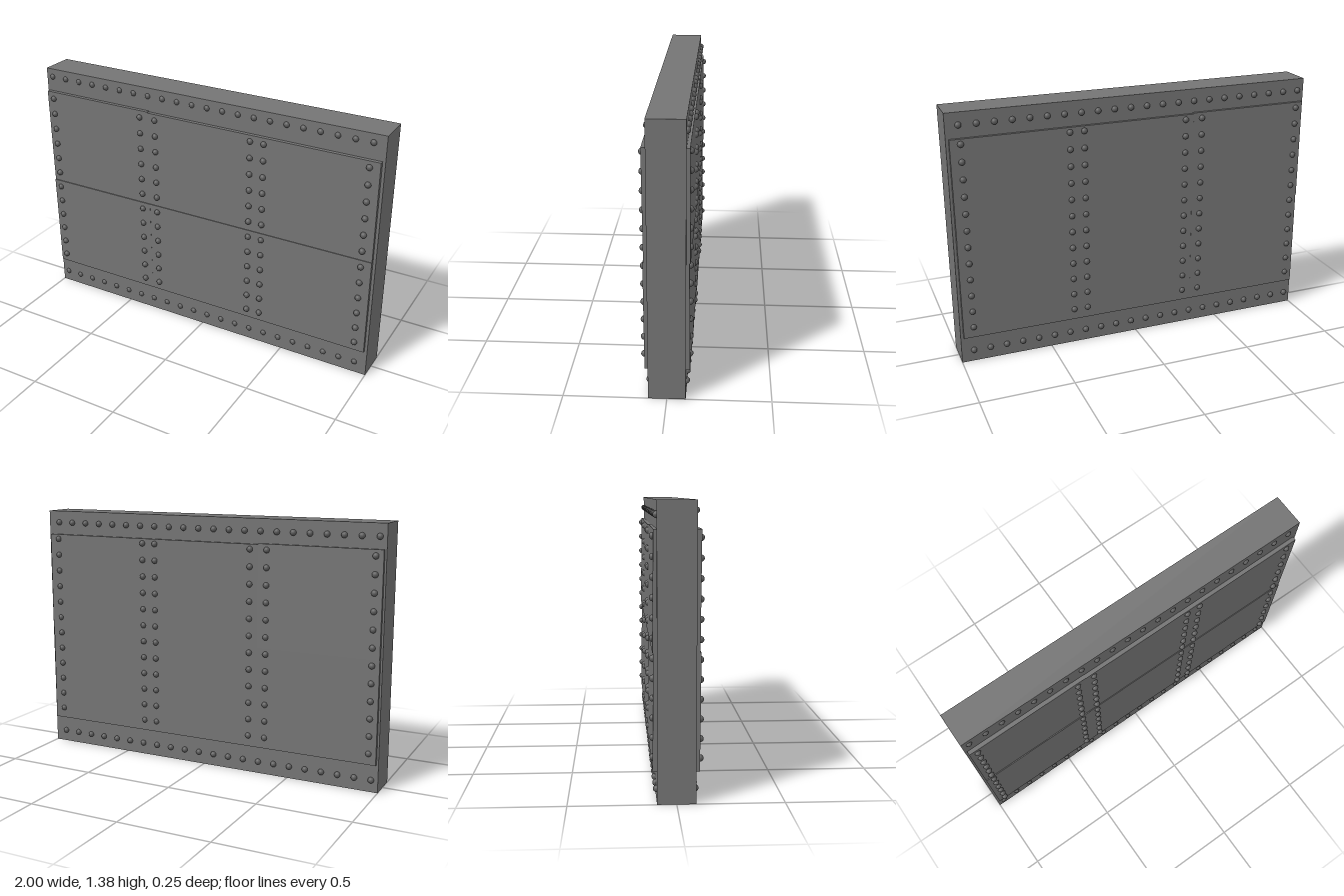
import * as THREE from 'three';

export function createModel() {
  const model = new THREE.Group();
  model.name = 'rivetedWall';
  const steel = new THREE.MeshStandardMaterial({ color: 0x747474 });
  steel.name = 'grey steel';
  const rivetSteel = new THREE.MeshStandardMaterial({ color: 0x606060 });
  rivetSteel.name = 'dark rivet steel';

  const add = (parent, name, geometry, material, x, y, z) => {
    const mesh = new THREE.Mesh(geometry, material);
    mesh.name = name;
    mesh.position.set(x, y, z);
    parent.add(mesh);
    return mesh;
  };

  // Core slab
  add(model, 'slab', new THREE.BoxGeometry(2, 1.38, 0.18), steel, 0, 0.69, 0);

  // Thin plate whose outer face leans slightly, from zTop to zBottom
  function plate(parent, name, x0, x1, y0, y1, zTop, zBottom, side) {
    const geometry = new THREE.BoxGeometry(x1 - x0, y1 - y0, 0.1);
    const p = geometry.attributes.position;
    for (let i = 0; i < p.count; i++) {
      const outer = p.getZ(i) * side > 0;
      p.setZ(i, side * (outer ? (p.getY(i) > 0 ? zTop : zBottom) : 0.08));
    }
    geometry.computeVertexNormals();
    add(parent, name, geometry, steel, (x0 + x1) / 2, (y0 + y1) / 2, 0);
  }

  const rivet = new THREE.SphereGeometry(0.0165, 14, 10);
  const columns = [-0.95, -0.373, -0.278, 0.293, 0.37, 0.93];

  for (const side of [1, -1]) {
    const front = side > 0;
    const face = new THREE.Group();
    face.name = front ? 'frontFace' : 'backFace';
    model.add(face);

    // Overlapping upper and lower plates, split by a vertical seam
    const [upTop, upLow, lowTop, lowBottom] = front
      ? [0.111, 0.106, 0.11, 0.106]
      : [0.106, 0.11, 0.105, 0.11];
    plate(face, 'upperPlateRight', -0.99, -0.325, 0.7, 1.252, upTop, upLow, side);
    plate(face, 'upperPlateLeft', -0.325, 0.985, 0.7, 1.247, upTop, upLow, side);
    plate(face, 'lowerPlateRight', -0.99, -0.325, 0.152, 0.7, lowTop + 0.001, lowBottom, side);
    plate(face, 'lowerPlateLeft', -0.325, 0.985, 0.152, 0.7, lowTop, lowBottom, side);

    // Vertical rivet columns on the plates
    const bottom = front ? 0.203 : 0.211;
    for (const x of columns) {
      for (let i = 0; i < 12; i++) {
        add(face, 'plateRivet', rivet, rivetSteel, x, bottom + i * 0.0918, front ? 0.11 : -0.107);
      }
    }

    // Rivet rows along the top and bottom rims
    for (const y of [0.065, front ? 1.334 : 1.315]) {
      for (let i = 0; i < 22; i++) {
        add(face, 'rimRivet', rivet, rivetSteel, -0.963 + i * 0.0903, y, front ? 0.086 : -0.091);
      }
    }
  }
  return model;
}
